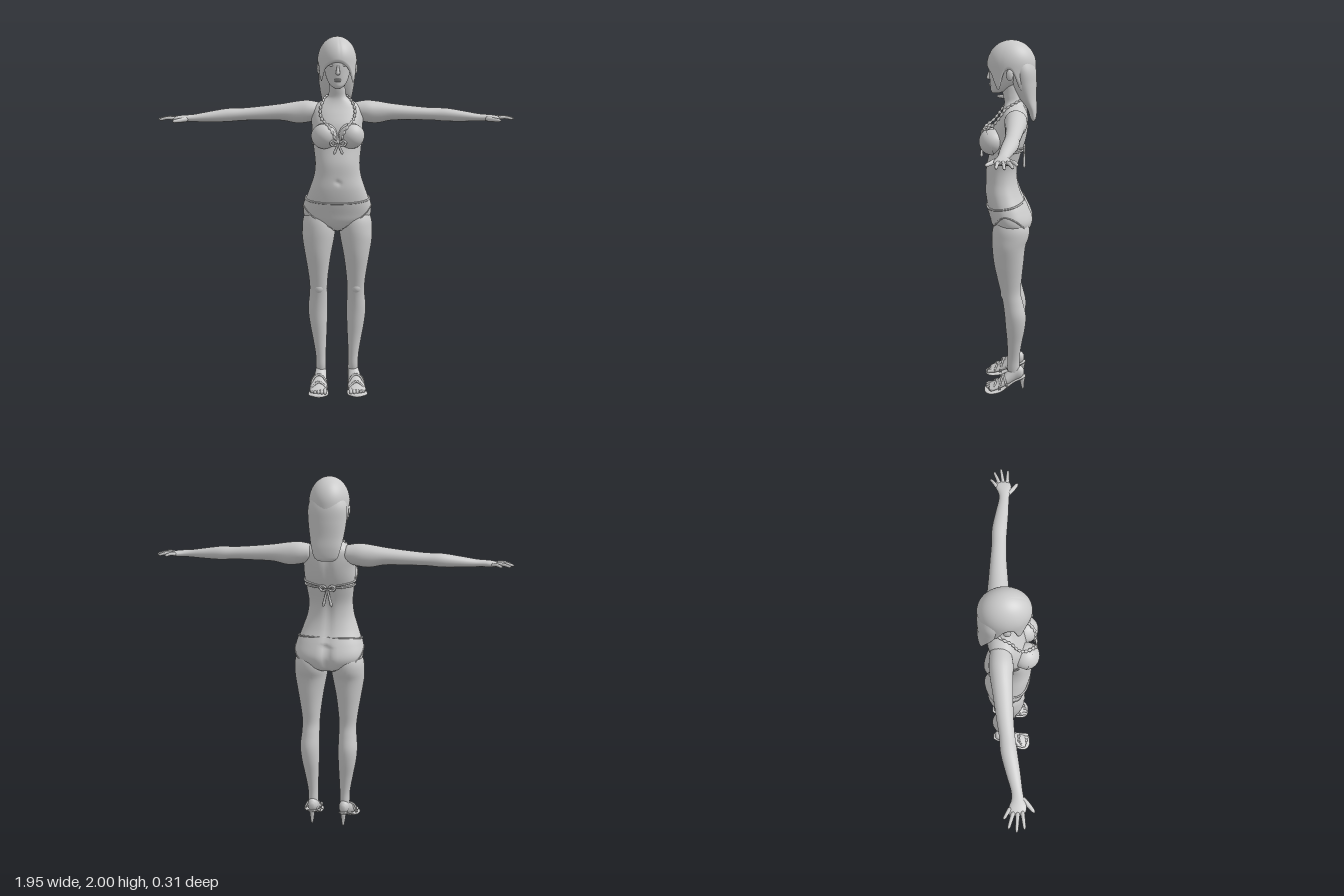
import * as THREE from 'three';
import { mergeVertices } from 'three/addons/utils/BufferGeometryUtils.js';

const mat = new THREE.MeshStandardMaterial({ color: 0xcccccc, side: THREE.DoubleSide });
const V = (p) => new THREE.Vector3(...p);

// Smooth lookup in rows [t, a, b, ...] sorted by t
function sample(rows, t) {
  let i = 0;
  while (i < rows.length - 2 && t > rows[i + 1][0]) i++;
  const p = rows[i], q = rows[i + 1], h = q[0] - p[0];
  const s = THREE.MathUtils.clamp((t - p[0]) / h, 0, 1);
  const o = rows[Math.max(i - 1, 0)], r = rows[Math.min(i + 2, rows.length - 1)];
  return p.slice(1).map((a, j) => {
    const k = j + 1, b = q[k];
    const m0 = (b - o[k]) / (q[0] - o[0]) * h, m1 = (r[k] - a) / (r[0] - p[0]) * h;
    const s2 = s * s, s3 = s2 * s;
    return (2 * s3 - 3 * s2 + 1) * a + (s3 - 2 * s2 + s) * m0 + (3 * s2 - 2 * s3) * b + (s3 - s2) * m1;
  });
}

// Weld a geometry, turn its faces outward and smooth it
function finish(geo, name) {
  geo.deleteAttribute('uv');
  geo.deleteAttribute('normal');
  const g = mergeVertices(geo, 1e-5), pos = g.attributes.position, idx = g.index.array;
  g.computeBoundingBox();
  const c = g.boundingBox.getCenter(new THREE.Vector3());
  const get = (i) => new THREE.Vector3().fromBufferAttribute(pos, i).sub(c);
  let vol = 0;
  for (let i = 0; i < idx.length; i += 3) vol += get(idx[i]).dot(get(idx[i + 1]).cross(get(idx[i + 2])));
  if (vol < 0) for (let i = 0; i < idx.length; i += 3) [idx[i], idx[i + 1]] = [idx[i + 1], idx[i]];
  g.computeVertexNormals();
  const mesh = new THREE.Mesh(g, mat);
  mesh.name = name;
  return mesh;
}

// Surface from fn(angle, v), wrapped around in angle
function sheet(name, fn, nu, nv) {
  const g = new THREE.PlaneGeometry(1, 1, nu, nv), pos = g.attributes.position;
  for (let j = 0, k = 0; j <= nv; j++)
    for (let i = 0; i <= nu; i++, k++) pos.setXYZ(k, ...fn(((i % nu) / nu * 2 - 1) * Math.PI, j / nv));
  return finish(g, name);
}

// Closed body through elliptical sections [t, centre a, centre b, radius a, radius b] along an axis
function loft(name, rows, axis, nu = 28, nv = 48) {
  const t0 = rows[0][0], t1 = rows[rows.length - 1][0];
  return sheet(name, (a, v) => {
    const t = THREE.MathUtils.lerp(t0, t1, THREE.MathUtils.clamp((v * (nv + 2) - 1) / nv, 0, 1));
    const [ca, cb, ra, rb] = sample(rows, t), k = v === 0 || v === 1 ? 0 : 1;
    const p = ca + ra * k * Math.sin(a), q = cb + rb * k * Math.cos(a);
    return axis === 'y' ? [p, t, q] : axis === 'x' ? [t, p, q] : [p, q, t];
  }, nu, nv + 2);
}

// Tapered round-ended tube, optionally frilled
function tube(name, pts, r0, r1 = r0, seg = 14, frill = 0) {
  const curve = new THREE.CatmullRomCurve3(pts.map(V));
  const g = new THREE.TubeGeometry(curve, seg, 1, 8), pos = g.attributes.position, v = new THREE.Vector3();
  for (let i = 0, k = 0; i <= seg; i++) {
    const t = i / seg, c = curve.getPointAt(t);
    const end = Math.sqrt(Math.min(1, Math.min(t, 1 - t) * 7 + 1e-4));
    const r = (r0 + (r1 - r0) * t) * end * (1 + frill * Math.sin(t * 100));
    for (let j = 0; j <= 8; j++, k++) {
      v.fromBufferAttribute(pos, k).sub(c).multiplyScalar(r).add(c);
      pos.setXYZ(k, v.x, v.y, v.z);
    }
  }
  return finish(g, name);
}

function ball(name, c, r) {
  const m = new THREE.Mesh(new THREE.SphereGeometry(1, 28, 18), mat);
  m.name = name;
  m.position.set(...c);
  m.scale.set(...r);
  return m;
}

// Torso sections: height, half width, front z, back z
const TORSO = [
  [0.935, 0.03, 0.03, -0.07], [0.96, 0.1, 0.06, -0.11], [1.0, 0.17, 0.083, -0.13], [1.04, 0.189, 0.094, -0.135],
  [1.1, 0.18, 0.11, -0.113], [1.18, 0.153, 0.122, -0.075], [1.25, 0.13, 0.12, -0.056], [1.32, 0.122, 0.117, -0.055],
  [1.4, 0.13, 0.1, -0.075], [1.47, 0.138, 0.09, -0.098], [1.53, 0.14, 0.078, -0.11], [1.58, 0.145, 0.055, -0.112],
  [1.62, 0.14, 0.034, -0.107], [1.65, 0.095, 0.022, -0.094], [1.675, 0.055, 0.018, -0.08],
  [1.71, 0.045, 0.025, -0.07], [1.77, 0.044, 0.035, -0.06]];
function torsoAt(a, y, off = 0) {
  const [w, f, b] = sample(TORSO, y), s = Math.sin(a), c = Math.cos(a);
  const x = (w + off) * Math.sign(s) * Math.abs(s) ** 0.92;
  let z = (f + b) / 2 + ((f - b) / 2 + off) * Math.sign(c) * Math.abs(c) ** 0.92;
  // cleft and spine hollow behind, navel line in front
  if (c < 0) z += (y < 1.1 ? 0.022 : 0.008) * Math.exp(-((x / 0.022) ** 2)) * (y < 1.66 ? 1 : 0);
  else if (off === 0) z -= 0.01 * Math.exp(-((x / 0.012) ** 2) - ((y - 1.22) / 0.014) ** 2);
  return [x, y, z];
}
const band = (name, a0, a1, yOf, r, off = 0.004) => tube(name,
  Array.from({ length: 49 }, (_, i) => { const a = a0 + (a1 - a0) * i / 48; return torsoAt(a, yOf(a), off); }), r, r, 120);

// Everything that exists once per side, made for the left (+x)
function makeSide() {
  const g = new THREE.Group();
  g.add(loft('arm', [
    [0.09, 1.6, -0.045, 0.045, 0.05], [0.16, 1.597, -0.045, 0.06, 0.06], [0.22, 1.592, -0.045, 0.06, 0.057],
    [0.3, 1.593, -0.042, 0.046, 0.05], [0.42, 1.587, -0.037, 0.038, 0.042], [0.52, 1.582, -0.03, 0.034, 0.038],
    [0.6, 1.578, -0.024, 0.036, 0.04], [0.7, 1.57, -0.008, 0.028, 0.034], [0.78, 1.564, 0.005, 0.02, 0.027],
    [0.82, 1.563, 0.008, 0.018, 0.03], [0.855, 1.562, 0.006, 0.016, 0.042], [0.885, 1.56, 0.001, 0.011, 0.04],
    [0.895, 1.56, 0, 0.004, 0.032]], 'x'));
  // fingers: root x, root z, tip x, tip z
  for (const [x, z, tx, tz] of [[0.855, -0.026, 0.91, -0.062], [0.87, -0.012, 0.957, -0.042],
    [0.872, 0.006, 0.975, -0.004], [0.87, 0.026, 0.962, 0.034]])
    g.add(tube('finger', [[x, 1.562, z], [(x + tx) / 2, 1.566, (z + tz) / 2], [tx, 1.556, tz]], 0.011, 0.007));
  g.add(tube('thumb', [[0.81, 1.56, 0.02], [0.845, 1.555, 0.055], [0.885, 1.55, 0.085]], 0.016, 0.008));

  g.add(loft('leg', [
    [0.1, 0.093, -0.04, 0.027, 0.034], [0.14, 0.093, -0.035, 0.029, 0.036], [0.2, 0.094, -0.035, 0.03, 0.035],
    [0.3, 0.1, -0.04, 0.04, 0.042], [0.4, 0.107, -0.045, 0.051, 0.055], [0.48, 0.11, -0.044, 0.055, 0.06],
    [0.56, 0.107, -0.03, 0.051, 0.056], [0.62, 0.106, -0.018, 0.05, 0.056], [0.7, 0.107, -0.012, 0.058, 0.068],
    [0.8, 0.108, -0.007, 0.073, 0.083], [0.9, 0.106, -0.008, 0.09, 0.093], [0.95, 0.103, -0.016, 0.093, 0.102],
    [1.0, 0.102, -0.02, 0.09, 0.1], [1.06, 0.1, -0.02, 0.07, 0.08]], 'y', 32, 64));
  g.add(ball('kneecap', [0.106, 0.61, 0.01], [0.03, 0.035, 0.03]));

  // foot raised on a heeled sandal
  g.add(loft('foot', [
    [-0.095, 0.092, 0.115, 0.012, 0.015], [-0.08, 0.092, 0.115, 0.027, 0.034], [-0.04, 0.093, 0.105, 0.03, 0.045],
    [0, 0.098, 0.078, 0.036, 0.04], [0.04, 0.105, 0.05, 0.045, 0.028], [0.08, 0.11, 0.032, 0.05, 0.018],
    [0.105, 0.11, 0.026, 0.044, 0.011]], 'z'));
  for (let i = 0; i < 5; i++) {
    const x = 0.073 + i * 0.019, tip = 0.128 - i * i * 0.0017;
    g.add(tube('toe', [[x, 0.03, 0.07], [x, 0.029, tip - 0.02], [x, 0.02, tip]], 0.012 - i * 0.0006, 0.01 - i * 0.0006));
  }
  g.add(loft('sole', [
    [-0.105, 0.092, 0.088, 0.016, 0.006], [-0.08, 0.092, 0.08, 0.03, 0.007], [-0.04, 0.093, 0.06, 0.03, 0.007],
    [0, 0.098, 0.034, 0.037, 0.007], [0.04, 0.106, 0.014, 0.05, 0.008], [0.09, 0.111, 0.008, 0.058, 0.008],
    [0.12, 0.11, 0.008, 0.047, 0.008], [0.134, 0.108, 0.008, 0.022, 0.006]], 'z'));
  g.add(tube('heel', [[0.092, 0.092, -0.088], [0.092, 0.05, -0.086], [0.092, 0, -0.09]], 0.018, 0.006));
  // straps over the instep: inner z, outer z, height of the top
  for (const [zi, zo, top] of [[0.0, 0.05, 0.098], [0.05, 0.0, 0.098], [0.04, 0.085, 0.068], [0.085, 0.04, 0.068]])
    g.add(tube('sandalStrap', [[0.056, 0.025 + 0.25 * Math.max(0, 0.05 - zi), zi], [0.078, top - 0.014, zi * 0.7 + zo * 0.3],
      [0.106, top, (zi + zo) / 2], [0.135, top - 0.014, zi * 0.3 + zo * 0.7], [0.158, 0.025 + 0.25 * Math.max(0, 0.05 - zo), zo]], 0.006));

  // bust, cup and frilled halter strap
  g.add(ball('breast', [0.071, 1.474, 0.08], [0.069, 0.066, 0.069]));
  const cup = new THREE.Mesh(new THREE.SphereGeometry(1, 28, 12, 0, Math.PI * 2, 0, 1.35), mat);
  cup.name = 'cup';
  cup.quaternion.setFromUnitVectors(V([0, 1, 0]), V([0.15, -0.28, 0.95]).normalize());
  cup.position.set(0.072, 1.474, 0.08);
  cup.scale.setScalar(0.0725);
  g.add(cup);
  g.add(tube('frilledStrap', [[0.012, 1.435, 0.128], [0.025, 1.475, 0.134], [0.052, 1.525, 0.126], [0.087, 1.565, 0.075],
    [0.094, 1.61, 0.04], [0.08, 1.65, 0.01], [0.055, 1.682, -0.05], [0.0, 1.69, -0.085]], 0.008, 0.005, 100, 0.35));
  // bow loops and tails, front and back
  for (const [name, y, z, len] of [['frontBow', 1.432, 0.142, 0.055], ['backBow', 1.415, -0.09, 0.1]]) {
    g.add(tube(name, [[0, y, z], [0.025, y + 0.018, z], [0.042, y + 0.006, z], [0.028, y - 0.01, z], [0, y, z]], 0.006));
    g.add(tube(name + 'Tail', [[0, y, z], [0.012, y - len / 2, z], [0.024, y - len, z]], 0.005, 0.009));
  }

  // face details
  g.add(ball('eye', [0.031, 1.845, 0.083], [0.014, 0.007, 0.009]));
  g.add(ball('ear', [0.1, 1.83, -0.012], [0.011, 0.03, 0.019]));
  return g;
}

export function createModel() {
  const model = new THREE.Group();
  model.name = 'swimwearFigure';
  model.add(sheet('torso', (a, v) => {
    const p = torsoAt(a, 0.935 + 0.835 * v);
    return v === 0 ? [0, 0.933, -0.02] : p;
  }, 64, 100));

  const left = makeSide(), right = left.clone();
  left.name = 'leftSide';
  right.name = 'rightSide';
  right.scale.x = -1;
  model.add(left, right);

  // briefs with high-cut leg openings
  const leg = [[0, 0.94], [0.25, 0.955], [0.7, 1.02], [1.3, 1.078], [1.7, 1.07], [2.3, 1.0], [2.8, 0.96], [3.15, 0.945]];
  const waistY = (a) => 1.105 + 0.02 * (1 - Math.cos(a));
  const hemY = (a) => sample(leg, Math.abs(a))[0];
  model.add(sheet('briefs', (a, v) => torsoAt(a, THREE.MathUtils.lerp(hemY(a), waistY(a), v), 0.005), 64, 16));
  model.add(band('waistband', -Math.PI, Math.PI, waistY, 0.005));
  for (const s of [-1, 1]) model.add(band('legHem', s * 0.25, s * 2.7, hemY, 0.004));
  // back straps of the top
  for (const y of [1.455, 1.425])
    model.add(band('backStrap', 1.1, Math.PI * 2 - 1.1, (a) => 1.415 + (y - 1.415) * Math.abs(Math.cos(a / 2)) ** 0.5, 0.005));

  // head
  model.add(loft('head', [
    [1.722, 0, 0.062, 0.012, 0.02], [1.735, 0, 0.05, 0.034, 0.04], [1.76, 0, 0.03, 0.052, 0.062],
    [1.8, 0, 0.008, 0.066, 0.088], [1.85, 0, 0.002, 0.076, 0.096], [1.9, 0, -0.005, 0.078, 0.095],
    [1.95, 0, -0.01, 0.06, 0.07], [1.975, 0, -0.01, 0.03, 0.04]], 'y'));
  model.add(tube('nose', [[0, 1.85, 0.092], [0, 1.82, 0.099], [0, 1.793, 0.104]], 0.005, 0.013));
  for (const y of [1.771, 1.763]) model.add(ball('lip', [0, y, 0.092], [0.018, 0.005, 0.008]));

  // hair: fringed cap and long back fall
  const edge = [[-3.15, 1.72], [-2, 1.75], [-1.6, 1.85], [-1.25, 1.84], [-1.05, 1.76], [-0.7, 1.83], [0, 1.86],
    [0.6, 1.825], [1, 1.75], [1.25, 1.84], [1.6, 1.85], [2, 1.75], [3.15, 1.72]];
  model.add(sheet('hairCap', (a, v) => {
    const y = 2 - (2 - sample(edge, a)[0]) * v * v;
    const r = (y > 1.87 ? Math.sqrt(Math.max(0, 1 - ((y - 1.87) / 0.13) ** 2)) : 1) * (v === 1 ? 0.94 : 1);
    const part = 1 - 0.04 * Math.exp(-(((a - 0.12) / 0.06) ** 2)) * (1 - v);
    return [0.107 * r * part * Math.sin(a), y, -0.02 + 0.13 * r * part * Math.cos(a)];
  }, 96, 30));
  model.add(loft('backHair', [
    [1.575, 0, -0.137, 0.04, 0.007], [1.59, 0, -0.137, 0.06, 0.016], [1.64, 0, -0.13, 0.077, 0.027],
    [1.7, 0, -0.107, 0.09, 0.047], [1.78, 0, -0.088, 0.101, 0.066], [1.85, 0, -0.08, 0.102, 0.07],
    [1.92, 0, -0.06, 0.08, 0.07]], 'y', 36));
  return model;
}
